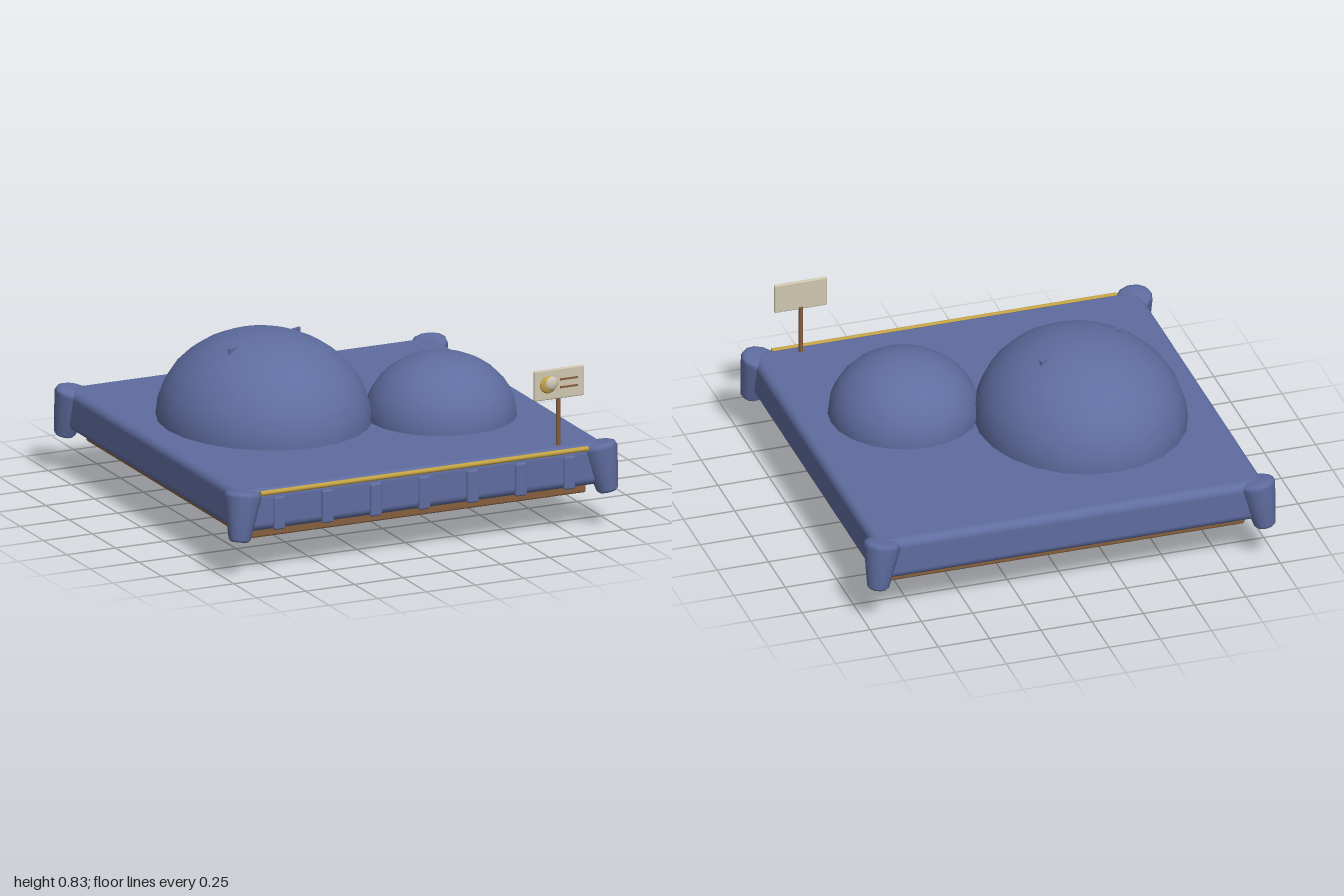
import * as THREE from 'three';
import { RoundedBoxGeometry } from 'three/addons/geometries/RoundedBoxGeometry.js';

const material = (name, color) => {
  const m = new THREE.MeshStandardMaterial({ color });
  m.name = name;
  return m;
};

export function createModel() {
  const blue = material('blue fabric', 0x5f6da0);
  const wood = material('brown wood', 0x865f3e);
  const gold = material('gold trim', 0xc2a244);
  const cream = material('cream card', 0xcfc6b0);

  const model = new THREE.Group();
  model.name = 'cushionedPlatform';

  const add = (name, geometry, mat, x, y, z, parent = model) => {
    const mesh = new THREE.Mesh(geometry, mat);
    mesh.name = name;
    mesh.position.set(x, y, z);
    parent.add(mesh);
    return mesh;
  };
  const rounded = (w, h, d, r) => new RoundedBoxGeometry(w, h, d, 3, r);

  // Wooden base and padded slab
  add('base', rounded(1.74, 0.055, 1.74, 0.01), wood, 0, 0.195, 0);
  add('slab', rounded(1.9, 0.2, 1.9, 0.04), blue, 0, 0.32, 0);

  // Two ellipsoid mounds passing through the slab
  const mound = (name, x, z, rx, ry, rz) =>
    add(name, new THREE.SphereGeometry(1, 24, 16), blue, x, 0.42, z).scale.set(rx, ry, rz);
  mound('largeMound', -0.32, -0.105, 0.493, 0.415, 0.545);
  mound('smallMound', 0.442, 0.2, 0.354, 0.295, 0.357);

  // Thin panel inside the large mound, its top corners just showing
  add('innerPanel', new THREE.BoxGeometry(0.485, 0.3, 0.012), blue, -0.32, 0.655, -0.1).rotation.y = 0.39;

  // Tapered corner caps, leaning inward at the top
  const capProfile = [[0, -0.12], [0.04, -0.12], [0.052, -0.108], [0.088, 0.09], [0.082, 0.108], [0.06, 0.118], [0, 0.12]]
    .map(([r, y]) => new THREE.Vector2(r, y));
  const up = new THREE.Vector3(0, 1, 0);
  for (const sx of [-1, 1]) {
    for (const sz of [-1, 1]) {
      const cap = add('cornerCap', new THREE.LatheGeometry(capProfile, 12), blue, sx * 0.927, 0.303, sz * 0.927);
      cap.quaternion.setFromUnitVectors(up, new THREE.Vector3(-sx * 0.15, 1, -sz * 0.15).normalize());
    }
  }

  // Front pleats under a gold piping
  for (let i = -3; i <= 3; i++) {
    add('pleat', rounded(0.06, 0.16, 0.03, 0.01), blue, i * 0.248, 0.302, 0.945);
  }
  const piping = add('frontPiping', new THREE.CylinderGeometry(0.012, 0.012, 1.68, 10), gold, 0, 0.406, 0.95);
  piping.rotation.z = Math.PI / 2;

  // Sign on a post, with a crescent and two lines
  const sign = new THREE.Group();
  sign.name = 'sign';
  model.add(sign);
  add('signPost', new THREE.CylinderGeometry(0.01, 0.01, 0.25, 10), wood, 0.722, 0.535, 0.878, sign);
  add('signBoard', rounded(0.256, 0.146, 0.016, 0.006), cream, 0.722, 0.72, 0.884, sign);
  const disc = (name, r, mat, x, y, z, depth) =>
    add(name, new THREE.SphereGeometry(1, 20, 12), mat, x, y, z, sign).scale.set(r, r, depth);
  disc('crescent', 0.042, gold, 0.664, 0.722, 0.892, 0.013);
  disc('crescentCutout', 0.034, cream, 0.677, 0.727, 0.896, 0.018);
  for (const y of [0.74, 0.702]) {
    add('signLine', new THREE.BoxGeometry(0.09, 0.009, 0.006), wood, 0.769, y, 0.893, sign);
  }

  return model;
}
